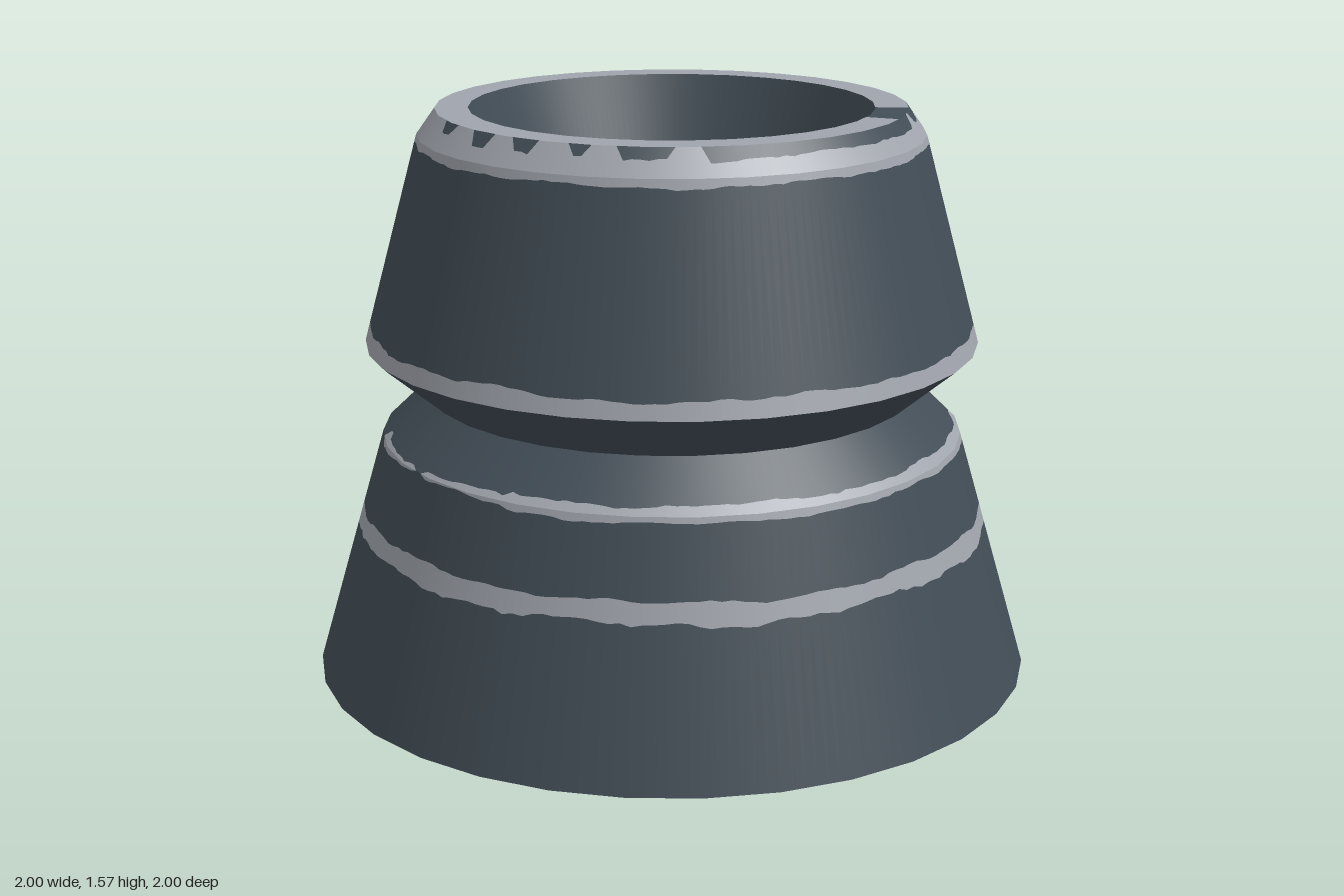
import * as THREE from 'three';

const SIDES = 32, SUB = 6, N = SIDES * SUB;

const paint = (name, color) => {
  const m = new THREE.MeshStandardMaterial({ color, side: THREE.DoubleSide });
  m.name = name;
  return m;
};

// Small repeatable noise in -1..1, one value per angular step
const noise = (i, seed) => {
  const s = Math.sin((i % N) * 12.9898 + seed * 78.233) * 43758.5453;
  return (s - Math.floor(s)) * 2 - 1;
};

// Uneven painted edge: slow waves plus a little roughness
const wobble = (i, seed) => {
  const a = (i % N) / N * Math.PI * 2;
  return 0.4 * Math.sin(7 * a + seed) + 0.3 * Math.sin(19 * a + seed * 2) + 0.3 * noise(i, seed);
};

const inRange = (i, ranges) => {
  const d = ((i % N) / N) * 360;
  return ranges.some(([a, b]) => d >= a && d <= b);
};

// Band of a cone wall from [r, y] to [r, y], between two edges given as fractions per step
function band(p0, p1, low = () => 0, high = () => 1) {
  const [r0, y0] = p0, [r1, y1] = p1;
  const pos = [], nor = [], idx = [];
  const n = new THREE.Vector2(y1 - y0, r0 - r1).normalize();
  for (let i = 0; i <= N; i++) {
    const a = (i / N) * Math.PI * 2, step = (Math.PI * 2) / SIDES;
    const off = ((i % SUB) / SUB - 0.5) * step;
    const facet = Math.cos(step / 2) / Math.cos(off);
    for (const edge of [low, high]) {
      const t = THREE.MathUtils.clamp(edge(i), 0, 1);
      const r = (r0 + (r1 - r0) * t) * facet;
      pos.push(r * Math.cos(a), y0 + (y1 - y0) * t, r * Math.sin(a));
      nor.push(n.x * Math.cos(a), n.y, n.x * Math.sin(a));
    }
    if (i < N) {
      const k = i * 2;
      idx.push(k, k + 1, k + 2, k + 1, k + 3, k + 2);
    }
  }
  const g = new THREE.BufferGeometry();
  g.setAttribute('position', new THREE.Float32BufferAttribute(pos, 3));
  g.setAttribute('normal', new THREE.Float32BufferAttribute(nor, 3));
  g.setIndex(idx);
  return g;
}

export function createModel() {
  const model = new THREE.Group();
  const steel = paint('dark steel', 0x424d56);
  const worn = paint('worn metal', 0xa0a4ac);
  const navy = paint('navy glow', 0x3c5376);
  const sky = paint('sky glow', 0x7ca4d0);
  const violet = paint('violet glow', 0x708ade);

  const add = (name, geometry, material) => {
    const mesh = new THREE.Mesh(geometry, material);
    mesh.name = name;
    model.add(mesh);
    return mesh;
  };

  // Wall section cut into alternating bands; edges give a height per step
  const wall = (name, p0, p1, edges, mats) => {
    const cuts = edges.map((e) => (i) => (e(i) - p0[1]) / (p1[1] - p0[1]));
    const all = [() => 0, ...cuts, () => 1];
    mats.forEach((m, k) =>
      add(name + (m === worn ? 'Wear' : ''), band(p0, p1, all[k], all[k + 1]), m));
  };
  const rough = (y, amount, seed) => (i) => y + amount * wobble(i, seed);

  const foot = [1, 0], shoulder = [0.805, 0.67], neck = [0.68, 0.79], skirt = [0.845, 0.93];
  const lip = [0.69, 1.5], rimOut = [0.64, 1.57], rimIn = [0.55, 1.57], throat = [0.34, 0.96];

  // Shoulder wear is thin on one side and gone behind it
  const thin = [[127, 172]], gone = [[149, 153], [176, 222], [226, 228], [231, 233]];
  const shoulderWear = (size, seed) => (i) => {
    if (inRange(i, gone)) return 0.67;
    return 0.67 + size * (inRange(i, thin) ? 0.5 : 1) + 0.007 * wobble(i, seed);
  };

  // Lower skirt with a worn line and the start of the shoulder wear
  wall('lowerSkirt', foot, shoulder,
    [rough(0.41, 0.014, 1), rough(0.464, 0.01, 2), shoulderWear(-0.017, 3)],
    [steel, worn, steel, worn]);

  // Waist between the two skirts
  wall('waistLower', shoulder, neck, [shoulderWear(0.02, 4)], [worn, steel]);
  wall('waistUpper', neck, skirt, [], [steel]);

  // Upper skirt with wear at both edges
  wall('upperSkirt', skirt, lip,
    [rough(0.976, 0.009, 5),
      (i) => (inRange(i, [[188, 196]]) ? 1.5 : 1.478 + 0.007 * wobble(i, 6))],
    [worn, steel, worn]);

  // Bevelled lip: chipped up to the rim in places, little worn at the back
  const chips = [[16, 20], [87, 95], [106, 113], [118, 126], [132, 139], [145, 155],
    [161, 182], [339, 344]];
  const clean = [[183, 206], [211, 240]], back = [[200, 335]];
  wall('bevel', lip, rimOut, [(i) => {
    if (inRange(i, chips)) return 1.57;
    if (inRange(i, clean)) return 1.5;
    return (inRange(i, back) ? 1.522 : 1.54) + 0.008 * wobble(i, 7);
  }], [worn, steel]);

  // Flat rim with one unworn patch
  const from = Math.round(N * 9 / 360), to = Math.round(N * 27 / 360);
  const rim = band(rimOut, rimIn);
  rim.addGroup(0, from * 6, 0);
  rim.addGroup(from * 6, (to - from) * 6, 1);
  rim.addGroup(to * 6, (N - to) * 6, 0);
  add('rim', rim, [worn, steel]);

  // Inner funnel
  add('funnel', band(rimIn, throat), steel);

  // Glowing floor made of concentric rings
  [[0.34, 0.285, navy], [0.285, 0.24, sky], [0.24, 0, violet]].forEach(([outer, inner, m]) =>
    add('glowRing', band([outer, throat[1]], [inner, throat[1]]), m));

  // Petalled centre plate
  const petals = new THREE.Shape();
  for (let i = 0; i <= 144; i++) {
    const a = (i / 144) * Math.PI * 2;
    const r = 0.112 + 0.05 * Math.sqrt(Math.abs(Math.sin(6 * a)));
    petals[i ? 'lineTo' : 'moveTo'](r * Math.cos(a), r * Math.sin(a));
  }
  const flower = add('glowPetals', new THREE.ShapeGeometry(petals), sky);
  flower.rotation.x = -Math.PI / 2;
  flower.position.y = throat[1] + 0.004;

  const core = add('core', new THREE.CircleGeometry(0.1, 32), worn);
  core.rotation.x = -Math.PI / 2;
  core.position.y = throat[1] + 0.008;

  return model;
}
